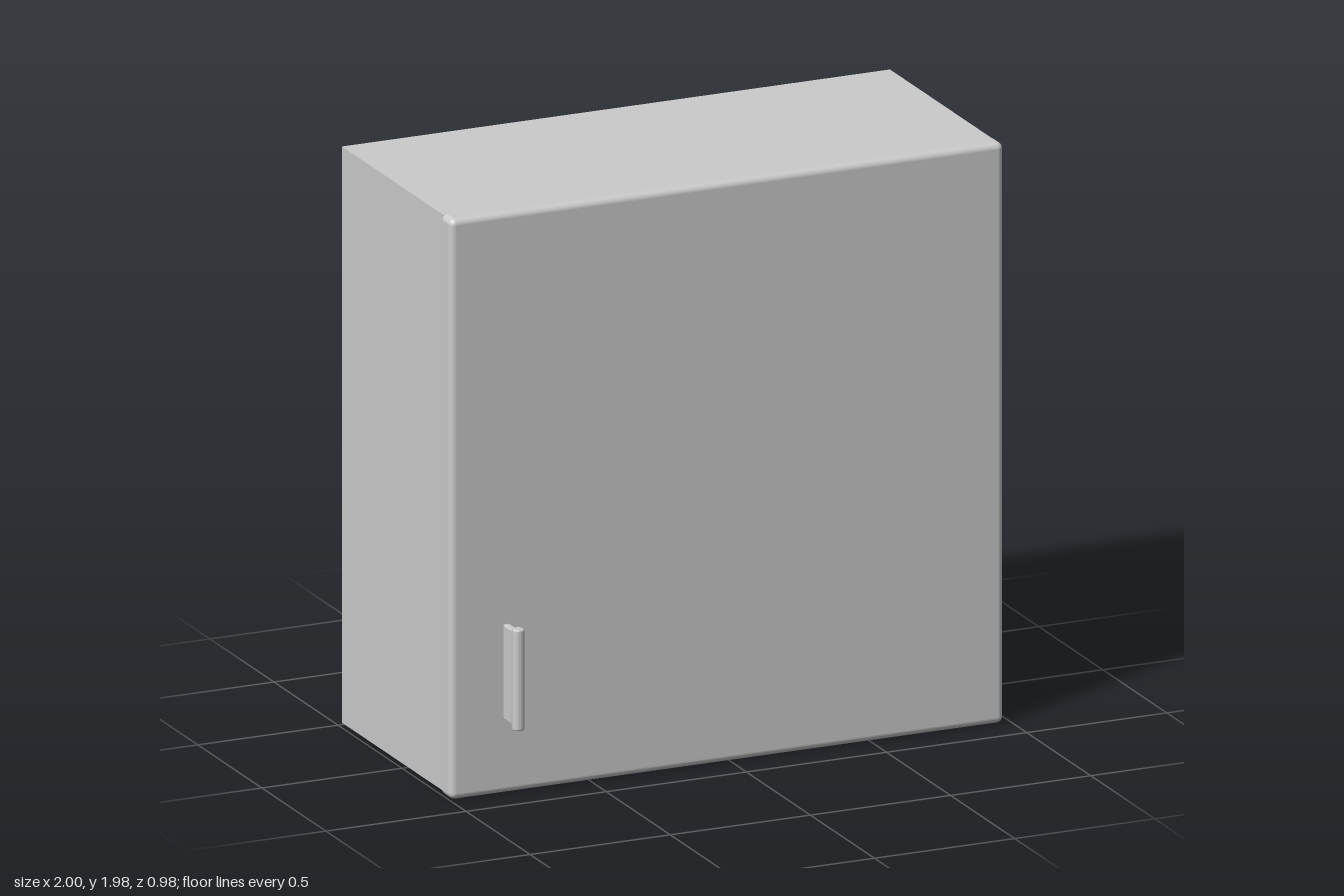
import * as THREE from 'three';
import { RoundedBoxGeometry } from 'three/addons/geometries/RoundedBoxGeometry.js';

const material = new THREE.MeshStandardMaterial({ color: 0xcccccc });

function addPart(parent, name, geometry, x, y, z) {
  const mesh = new THREE.Mesh(geometry, material);
  mesh.name = name;
  mesh.position.set(x, y, z);
  parent.add(mesh);
  return mesh;
}

// Thin blade that flares into a rounded grip, extruded along its height
function handleGeometry() {
  const bevel = 0.006, height = 0.345;
  const s = new THREE.Shape();
  s.moveTo(-0.006, 0.01);
  s.lineTo(-0.006, -0.05);
  s.quadraticCurveTo(-0.007, -0.075, -0.014, -0.09);
  s.bezierCurveTo(-0.016, -0.108, 0.016, -0.108, 0.014, -0.09);
  s.quadraticCurveTo(0.007, -0.075, 0.006, -0.05);
  s.lineTo(0.006, 0.01);
  s.closePath();
  const g = new THREE.ExtrudeGeometry(s, {
    depth: height - 2 * bevel, bevelEnabled: true, bevelSize: bevel,
    bevelThickness: bevel, bevelSegments: 3, curveSegments: 10,
  });
  g.translate(0, 0, -height / 2 + bevel);
  g.rotateX(-Math.PI / 2);
  // Narrow the height of the blade between the grip and the door
  const p = g.attributes.position;
  for (let i = 0; i < p.count; i++) {
    if (p.getZ(i) < 0.07) p.setY(i, p.getY(i) * 0.94);
  }
  g.computeVertexNormals();
  return g;
}

export function createModel() {
  const model = new THREE.Group();
  model.name = 'wallCabinet';

  // Cabinet box
  addPart(model, 'cabinetBody', new THREE.BoxGeometry(1.955, 1.965, 0.795), -0.013, 0.9925, -0.0925);

  // Door with softened edges, slightly larger than the box
  addPart(model, 'door', new RoundedBoxGeometry(1.975, 1.98, 0.085, 5, 0.022), -0.0125, 0.99, 0.3375);

  // Vertical pull handle
  addPart(model, 'handle', handleGeometry(), -0.8, 0.415, 0.38);

  // Hinges on the model's left edge
  for (const y of [0.235, 1.76]) {
    const hinge = new THREE.Group();
    hinge.name = 'hinge';
    hinge.position.set(0.984, y, 0.291);
    addPart(hinge, 'hingeBarrel', new THREE.CapsuleGeometry(0.016, 0.093, 4, 16), 0, 0, 0);
    addPart(hinge, 'hingeLeaf', new RoundedBoxGeometry(0.03, 0.115, 0.022, 2, 0.005), -0.012, 0, 0.006);
    model.add(hinge);
  }
  return model;
}
